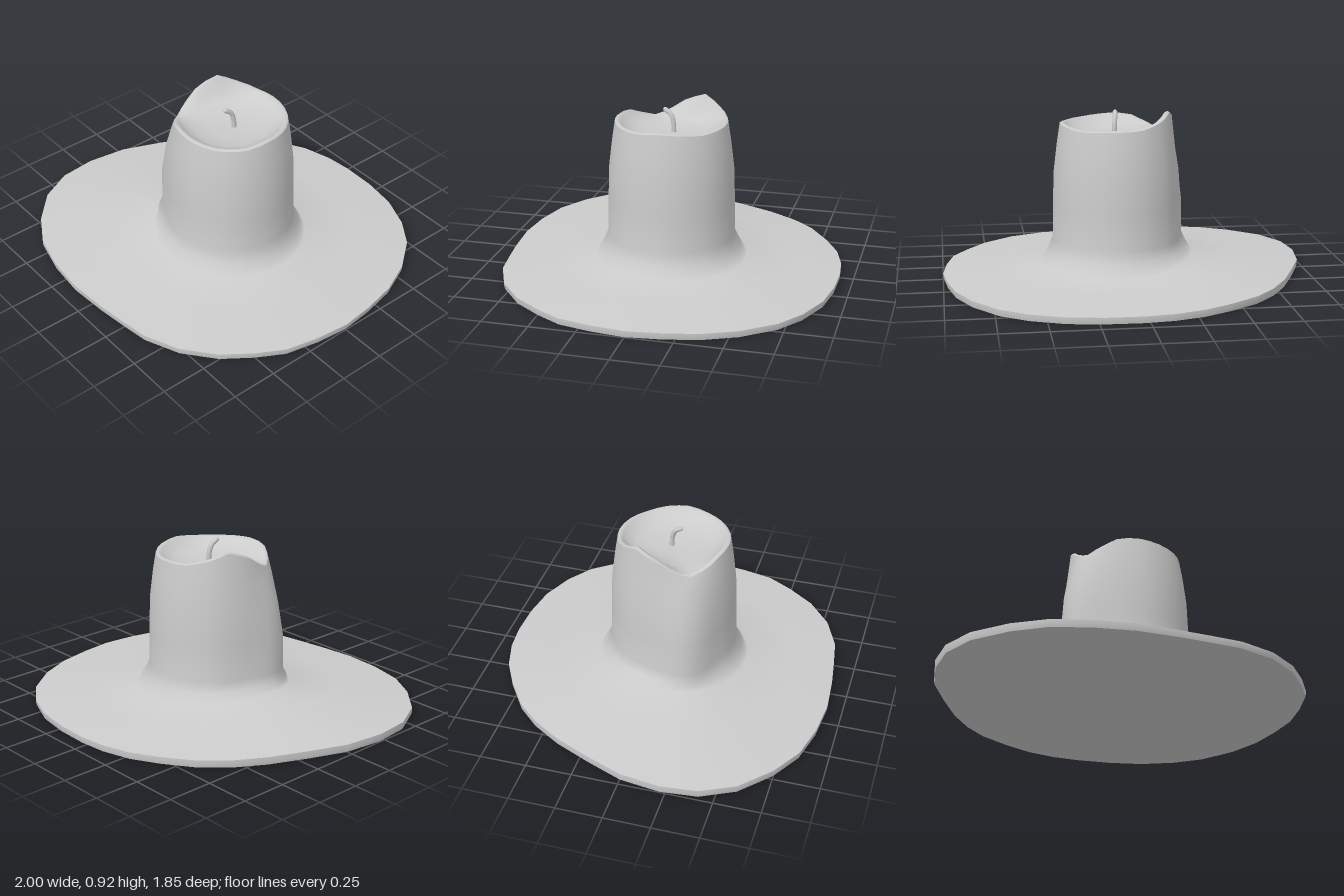
import * as THREE from 'three';

const CX = 0.055; // candle axis
const material = new THREE.MeshStandardMaterial({ color: 0xcccccc, side: THREE.DoubleSide });

// Outline of the melted pool, as x, z pairs
const outline = [
  1, 0, 0.98, 0.18, 0.94, 0.36, 0.86, 0.5, 0.75, 0.65, 0.59, 0.78, 0.4, 0.86, 0.23, 0.885, 0.07, 0.905,
  -0.15, 0.92, -0.36, 0.9, -0.56, 0.85, -0.73, 0.75, -0.89, 0.6, -0.98, 0.42, -1, 0.22, -0.97, 0,
  -0.89, -0.2, -0.8, -0.4, -0.7, -0.56, -0.59, -0.68, -0.43, -0.79, -0.28, -0.87, -0.12, -0.915,
  0.03, -0.93, 0.22, -0.925, 0.41, -0.895, 0.59, -0.82, 0.73, -0.72, 0.86, -0.55, 0.94, -0.37, 0.98, -0.18,
];

// Rim height by angle in degrees (0 = +x, 90 = +z)
const rimKeys = [
  [0, 0.855], [25, 0.842], [55, 0.842], [90, 0.852], [112, 0.85], [130, 0.815], [148, 0.788], [162, 0.81],
  [180, 0.87], [204, 0.922], [228, 0.875], [250, 0.848], [275, 0.845], [315, 0.838], [340, 0.85], [360, 0.855],
];

function rimHeight(deg) {
  const i = Math.max(1, rimKeys.findIndex((k) => k[0] >= deg));
  const [a, ha] = rimKeys[i - 1], [b, hb] = rimKeys[i];
  return THREE.MathUtils.lerp(ha, hb, (deg - a) / (b - a));
}

// One column per outline point: direction, pool radius, rim height, drip bulge
const columns = [];
for (let i = 0; i < outline.length; i += 2) {
  const x = outline[i] - CX, z = outline[i + 1];
  const angle = (Math.atan2(z, x) + Math.PI * 2) % (Math.PI * 2);
  const deg = THREE.MathUtils.radToDeg(angle);
  columns.push({
    angle,
    edge: Math.hypot(x, z),
    rim: rimHeight(deg),
    bulge: Math.exp(-(((deg - 154) / 22) ** 2)),
    left: Math.max(0, -Math.cos(angle)),
  });
}

// Surface through closed rings; each ring is a rule giving [radius, height] for a column
function loft(name, rings) {
  const n = columns.length, pos = [], index = [];
  for (const ring of rings) {
    for (const c of columns) {
      const [r, y] = ring(c);
      pos.push(CX + Math.cos(c.angle) * r, y, Math.sin(c.angle) * r);
    }
  }
  for (let j = 0; j < rings.length - 1; j++) {
    for (let i = 0; i < n; i++) {
      const a = j * n + i, b = j * n + (i + 1) % n;
      index.push(a, a + n, b, b, a + n, b + n);
    }
  }
  const geometry = new THREE.BufferGeometry();
  geometry.setAttribute('position', new THREE.Float32BufferAttribute(pos, 3));
  geometry.setIndex(index);
  geometry.computeVertexNormals();
  const mesh = new THREE.Mesh(geometry, material);
  mesh.name = name;
  return mesh;
}

export function createModel() {
  const group = new THREE.Group();
  group.name = 'meltedCandle';

  const poolEdge = (c) => [c.edge, 0.035 + 0.008 * c.left];
  const outerRim = (c) => [0.303, c.rim - 0.008];
  const footY = (c) => 0.08 + 0.045 * c.left ** 2;

  // Flat underside and thin edge of the wax pool
  group.add(loft('poolUnderside', [() => [0, 0], (c) => [c.edge - 0.004, 0]]));
  group.add(loft('poolEdge', [(c) => [c.edge - 0.004, 0], (c) => [c.edge, 0.018], poolEdge]));

  // Sloping pool flowing into the candle wall, with a drip bulge on one side
  group.add(loft('waxBody', [
    poolEdge,
    (c) => [0.66, THREE.MathUtils.lerp(footY(c), 0.04, 0.25 / (c.edge - 0.41))],
    (c) => [0.415 + 0.02 * c.bulge, footY(c)],
    (c) => [0.375 + 0.05 * c.bulge, 0.145 + 0.02 * c.left],
    (c) => [0.347 + 0.06 * c.bulge, 0.21],
    (c) => [0.344 + 0.06 * c.bulge, 0.4],
    (c) => [0.338 + 0.035 * c.bulge, 0.58],
    (c) => [0.32 + 0.008 * c.bulge, 0.73],
    outerRim,
  ]));

  // Rounded lip and hollow around the wick
  group.add(loft('waxBowl', [
    outerRim,
    (c) => [0.29, c.rim],
    (c) => [0.274, c.rim - 0.008],
    (c) => [0.25, 0.79 + (c.rim - 0.79) * 0.45],
    (c) => [0.2, 0.785 + (c.rim - 0.79) * 0.12],
    () => [0.11, 0.78],
    () => [0, 0.777],
  ]));

  // Bent wick
  const path = new THREE.CatmullRomCurve3([
    new THREE.Vector3(0.062, 0.76, -0.015),
    new THREE.Vector3(0.062, 0.83, -0.012),
    new THREE.Vector3(0.058, 0.872, 0.003),
    new THREE.Vector3(0.053, 0.895, 0.034),
  ]);
  const wick = new THREE.Mesh(new THREE.TubeGeometry(path, 10, 0.013, 8), material);
  wick.name = 'wick';
  const tip = new THREE.Mesh(new THREE.SphereGeometry(0.013, 8, 6), material);
  tip.name = 'wickTip';
  tip.position.copy(path.getPoint(1));
  group.add(wick, tip);

  return group;
}
